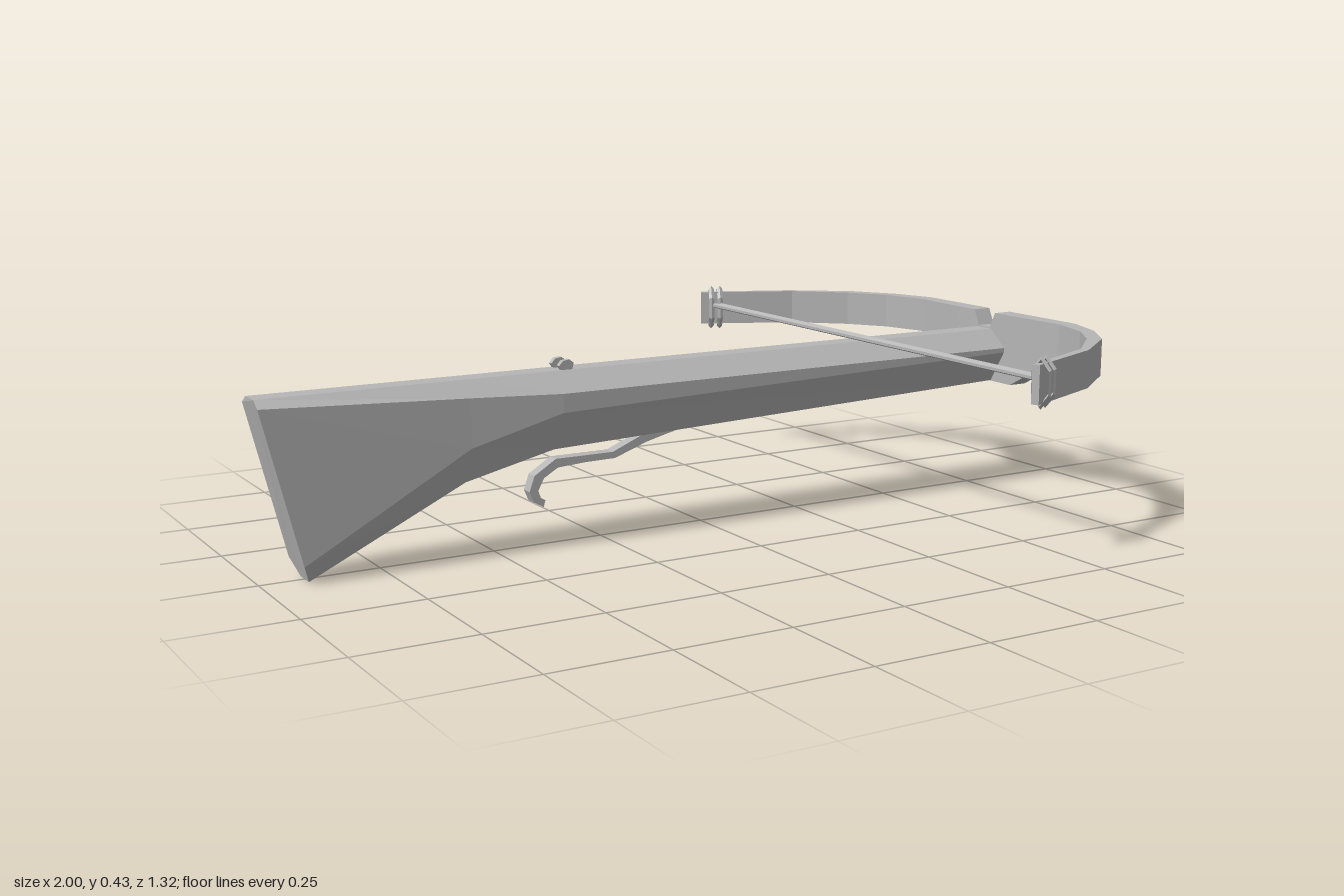
import * as THREE from 'three';

const grey = new THREE.MeshStandardMaterial({ color: 0xb6b6b6 });
grey.name = 'plain grey';

// Faceted solid through a row of convex cross-sections with equal point counts
function loft(rings) {
  const n = rings[0].length, tris = [];
  for (let i = 0; i < rings.length - 1; i++) {
    for (let j = 0; j < n; j++) {
      const k = (j + 1) % n, a = rings[i], b = rings[i + 1];
      tris.push([a[j], b[j], b[k]], [a[j], b[k], a[k]]);
    }
  }
  const first = rings[0], last = rings[rings.length - 1];
  for (let j = 1; j < n - 1; j++) {
    tris.push([first[0], first[j], first[j + 1]], [last[0], last[j + 1], last[j]]);
  }
  // Turn every face outwards
  const vec = (p) => new THREE.Vector3(...p);
  const volume = tris.reduce((s, [a, b, c]) => s + vec(a).dot(vec(b).cross(vec(c))), 0);
  if (volume < 0) tris.forEach((t) => t.reverse());
  const geo = new THREE.BufferGeometry();
  geo.setAttribute('position', new THREE.Float32BufferAttribute(tris.flat(2), 3));
  geo.computeVertexNormals();
  return geo;
}

function flat(geo) {
  const g = geo.toNonIndexed();
  g.computeVertexNormals();
  return g;
}

export function createModel() {
  const model = new THREE.Group();
  model.name = 'crossbow';
  const add = (name, geo) => {
    const mesh = new THREE.Mesh(geo, grey);
    mesh.name = name;
    model.add(mesh);
    return mesh;
  };

  // Stock: half sections from top edge to bottom edge, mirrored in z
  const halves = [
    [[-1, 0.375, 0.025], [-1, 0.36, 0.048], [-0.922, 0.04, 0.048], [-0.907, 0.003, 0.025]],
    [[-0.57, 0.375, 0.025], [-0.57, 0.343, 0.062], [-0.57, 0.24, 0.062], [-0.57, 0.163, 0.025]],
    [[-0.37, 0.375, 0.025], [-0.37, 0.335, 0.075], [-0.37, 0.295, 0.075], [-0.37, 0.21, 0.027]],
    [[0.8, 0.375, 0.025], [0.8, 0.335, 0.075], [0.8, 0.325, 0.075], [0.8, 0.252, 0.03]],
  ];
  add('stock', loft(halves.map((h) =>
    [...h, ...h.map(([x, y, z]) => [x, y, -z]).reverse()])));

  // Bow: outer x, outer z, inner x, inner z, bottom y, top y
  const half = [
    [0.835, 0.02, 0.79, 0.02, 0.25, 0.378],
    [0.835, 0.038, 0.79, 0.038, 0.25, 0.414],
    [0.835, 0.1, 0.79, 0.1, 0.25, 0.414],
    [0.835, 0.255, 0.797, 0.25, 0.333, 0.414],
    [0.834, 0.27, 0.795, 0.262, 0.333, 0.414],
    [0.797, 0.37, 0.765, 0.36, 0.333, 0.414],
    [0.733, 0.465, 0.706, 0.447, 0.333, 0.414],
    [0.604, 0.565, 0.6, 0.545, 0.333, 0.414],
    [0.392, 0.657, 0.384, 0.643, 0.333, 0.414],
  ];
  const mirrored = half.map(([a, b, c, d, e, f]) => [a, -b, c, -d, e, f]).reverse();
  add('bow', loft([...mirrored, ...half].map(([xo, zo, xi, zi, lo, hi]) =>
    [[xo, lo, zo], [xo, hi, zo], [xi, hi, zi], [xi, lo, zi]])));

  // Bindings around both bow tips
  for (const side of [-1, 1]) {
    for (const [x, z] of [[0.412, 0.64], [0.432, 0.631]]) {
      const geo = new THREE.TorusGeometry(0.048, 0.007, 4, 6).rotateZ(Math.PI / 6).scale(0.45, 1, 1);
      const ring = add('binding', flat(geo));
      ring.position.set(x, 0.374, z * side);
      ring.rotation.y = Math.atan2(-0.91, 0.42 * side);
    }
  }

  // String in two strands
  for (const x of [0.412, 0.426]) {
    const strand = add('string', flat(new THREE.CylinderGeometry(0.006, 0.006, 1.27, 6)));
    strand.rotation.x = Math.PI / 2;
    strand.position.set(x, 0.381, 0);
  }

  // Foot stirrup: two splayed arms and a bent end bar
  for (const side of [-1, 1]) {
    add('stirrupArm', loft([[0.8, 0.028], [0.99, 0.083]].map(([x, z]) => [
      [x, 0.335, z * side], [x, 0.373, z * side],
      [x, 0.373, (z + 0.011) * side], [x, 0.335, (z + 0.011) * side],
    ])));
  }
  add('stirrupBar', loft([[-0.09, 0.33], [0, 0.313], [0.09, 0.33]].map(([z, y]) =>
    [[0.978, y, z], [0.978, y + 0.043, z], [0.998, y + 0.043, z], [0.998, y, z]])));

  // Trigger lever: upper and lower edge points along its curve
  const lever = [
    [-0.05, 0.232, -0.05, 0.222], [-0.15, 0.217, -0.14, 0.2],
    [-0.225, 0.186, -0.22, 0.172], [-0.29, 0.186, -0.29, 0.171],
    [-0.36, 0.186, -0.355, 0.167], [-0.41, 0.155, -0.388, 0.148],
    [-0.422, 0.122, -0.402, 0.122], [-0.412, 0.098, -0.396, 0.106],
    [-0.39, 0.086, -0.386, 0.1],
  ];
  add('trigger', loft(lever.map(([xa, ya, xb, yb]) =>
    [[xa, ya, 0.014], [xa, ya, -0.014], [xb, yb, -0.014], [xb, yb, 0.014]])));

  // String catch: two small hooked lugs
  for (const z of [-0.018, 0.018]) {
    const lug = (x, y) => [x, y, z];
    const outline = [[-0.345, 0.37], [-0.325, 0.37], [-0.32, 0.388], [-0.33, 0.396], [-0.345, 0.394], [-0.354, 0.384]];
    add('stringCatch', loft([-0.006, 0.006].map((dz) =>
      outline.map(([x, y]) => { const p = lug(x, y); p[2] += dz; return p; }))));
  }
  return model;
}
